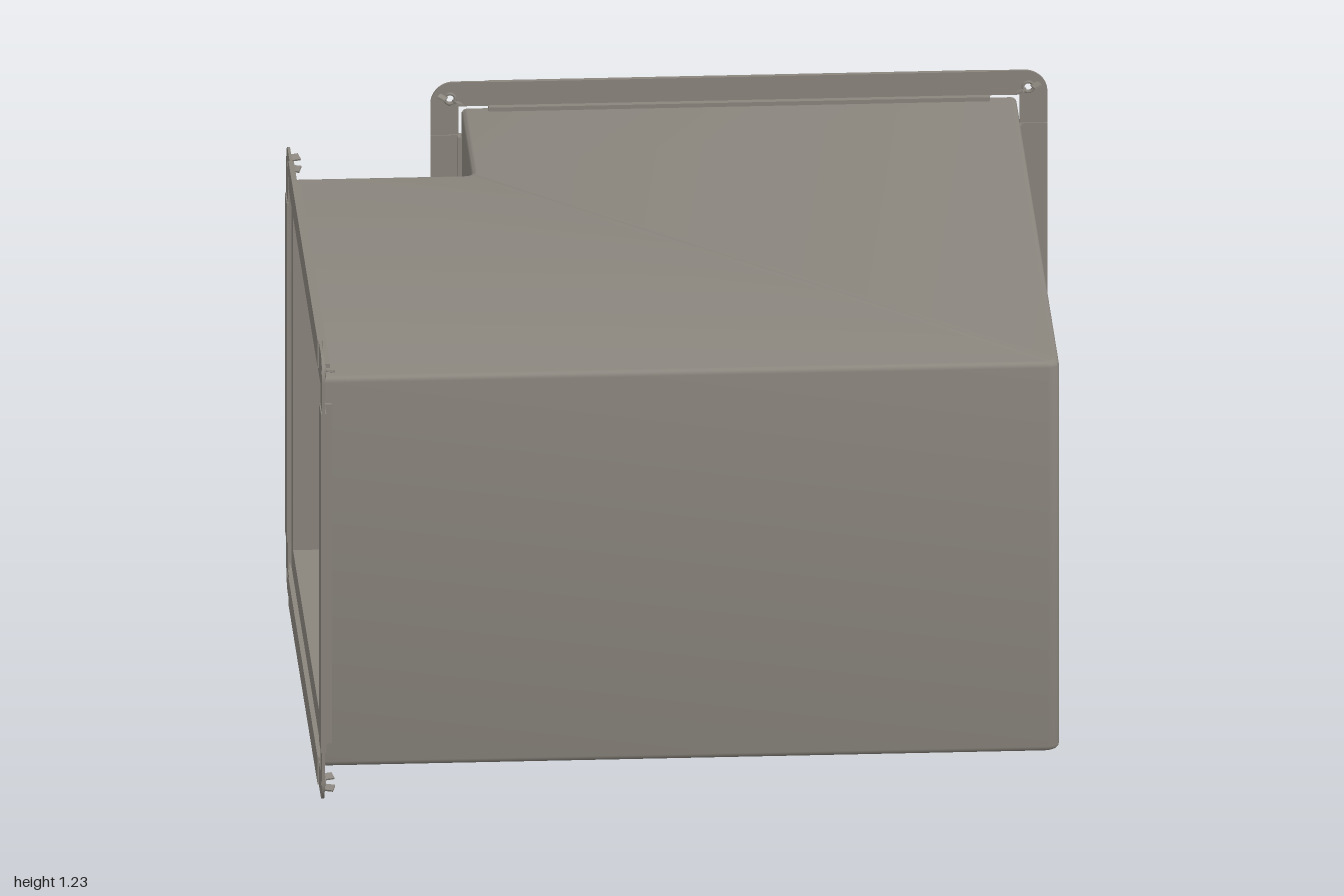
import * as THREE from 'three';
import { toCreasedNormals } from 'three/addons/utils/BufferGeometryUtils.js';

const steel = new THREE.MeshStandardMaterial({ color: 0x8a857d, side: THREE.DoubleSide });
steel.name = 'galvanised steel';

const MID_Y = 0.615, MID_U = 0.2;      // centre of each duct opening
const DUCT = [0.72, 0.54];             // half width and half height of the duct
const BORE = [0.65, 0.465];            // half size of the lined opening
const FLANGE = [0.8, 0.615];           // half size of the flange

function add(parent, name, geometry, x = 0, y = 0, z = 0) {
  const mesh = new THREE.Mesh(geometry, steel);
  mesh.name = name;
  mesh.position.set(x, y, z);
  parent.add(mesh);
  return mesh;
}

// Counter-clockwise rounded rectangle, centred on the opening
function section([hw, hh], r, n) {
  const pts = [];
  const corners = [[1, 1], [-1, 1], [-1, -1], [1, -1]];
  corners.forEach(([sx, sy], k) => {
    for (let s = 0; s <= n; s++) {
      const a = (k + (n ? s / n : 0)) * Math.PI / 2;
      pts.push([MID_U + sx * (hw - r) + r * Math.cos(a), MID_Y + sy * (hh - r) + r * Math.sin(a)]);
    }
  });
  return pts;
}

// Sweep a section around the square elbow, with bend radius r
function elbow(loop, r, n, start) {
  const pos = [], index = [], rows = n + 3, m = loop.length;
  for (let i = 0; i < rows; i++) {
    for (const [u, y] of loop) {
      if (i === 0) pos.push(start, y, u);
      else if (i === rows - 1) pos.push(u, y, start);
      else {
        const t = n ? (i - 1) / n * Math.PI / 2 : 0;
        pos.push(u - r + r * Math.sin(t), y, u - r + r * Math.cos(t));
      }
    }
  }
  for (let i = 0; i < rows - 1; i++) {
    for (let j = 0; j < m; j++) {
      const k = (j + 1) % m, a = i * m + j, b = a + m, c = i * m + k, d = c + m;
      index.push(a, b, c, c, b, d);
    }
  }
  const g = new THREE.BufferGeometry();
  g.setAttribute('position', new THREE.Float32BufferAttribute(pos, 3));
  g.setIndex(index);
  return toCreasedNormals(g, 0.6);
}

// Flat ring closing the gap between duct and lining
function endRing() {
  const rect = (S, [w, h]) => new S([[-w, -h], [w, -h], [w, h], [-w, h]].map(p => new THREE.Vector2(...p)));
  const ring = rect(THREE.Shape, [DUCT[0] - 0.003, DUCT[1] - 0.003]);
  ring.holes.push(rect(THREE.Path, BORE));
  return new THREE.ExtrudeGeometry(ring, { depth: 0.006, bevelEnabled: false });
}

// L-shaped corner plate with a rounded outer corner and bolt hole
function cornerPlate() {
  const [w, h] = FLANGE, r = 0.06, iu = DUCT[0] + 0.008, iy = DUCT[1] + 0.008;
  const s = new THREE.Shape();
  s.moveTo(iu, 0.43);
  s.lineTo(w, 0.43);
  s.lineTo(w, h - r);
  s.absarc(w - r, h - r, r, 0, Math.PI / 2, false);
  s.lineTo(0.61, h);
  s.lineTo(0.61, iy);
  s.lineTo(iu, iy);
  s.closePath();
  const hole = new THREE.Path();
  hole.absarc(w - 0.05, h - 0.045, 0.011, 0, Math.PI * 2, true);
  s.holes.push(hole);
  return new THREE.ExtrudeGeometry(s, { depth: 0.007, bevelEnabled: false, curveSegments: 8 });
}

// Flange in local space: face at z = 0, duct running towards +z
function flange(name) {
  const g = new THREE.Group();
  g.name = name;
  add(g, 'endRing', endRing(), 0, 0, 0.012);
  for (const s of [-1, 1]) {
    // horizontal and vertical rails, each with a lip along the duct
    const hy = FLANGE[1] - DUCT[1], hu = FLANGE[0] - DUCT[0];
    add(g, 'rail', new THREE.BoxGeometry(1.3, hy, 0.014), 0, s * (DUCT[1] + hy / 2), 0.007);
    add(g, 'railLip', new THREE.BoxGeometry(1.3, 0.011, 0.018), 0, s * (DUCT[1] + 0.0055), 0.023);
    add(g, 'rail', new THREE.BoxGeometry(hu, 0.94, 0.014), s * (DUCT[0] + hu / 2), 0, 0.007);
    add(g, 'railLip', new THREE.BoxGeometry(0.011, 0.94, 0.018), s * (DUCT[0] + 0.0055), 0, 0.023);
    for (const t of [-1, 1]) {
      const corner = new THREE.Group();
      corner.name = 'flangeCorner';
      corner.scale.set(s, t, 1);
      add(corner, 'cornerPlate', cornerPlate(), 0, 0, 0.003);
      const u = FLANGE[0] - 0.05, y = FLANGE[1] - 0.045;
      add(corner, 'boltCollar', new THREE.TorusGeometry(0.014, 0.004, 6, 14), u, y, 0.012);
      // bent tabs either side of the bolt hole
      for (const e of [-1, 1]) {
        const tab = add(corner, 'boltTab', new THREE.BoxGeometry(0.022, 0.005, 0.028), u + e * 0.02, y + e * 0.008, 0.022);
        tab.rotation.z = 0.4;
        tab.rotation.y = e * 0.35;
      }
      g.add(corner);
    }
  }
  return g;
}

export function createModel() {
  const model = new THREE.Group();
  model.name = 'ductElbow';

  // Outer casing and inner lining
  add(model, 'ductCasing', elbow(section(DUCT, 0.015, 4), 0.03, 6, -0.994));
  add(model, 'ductLining', elbow(section(BORE, 0, 0).reverse(), 0, 0, -0.985));

  // One flange on each open end
  const back = flange('backFlange');
  back.position.set(MID_U, MID_Y, -1);
  const side = flange('rightFlange');
  side.position.set(-1, MID_Y, MID_U);
  side.rotation.y = Math.PI / 2;
  model.add(back, side);
  return model;
}
